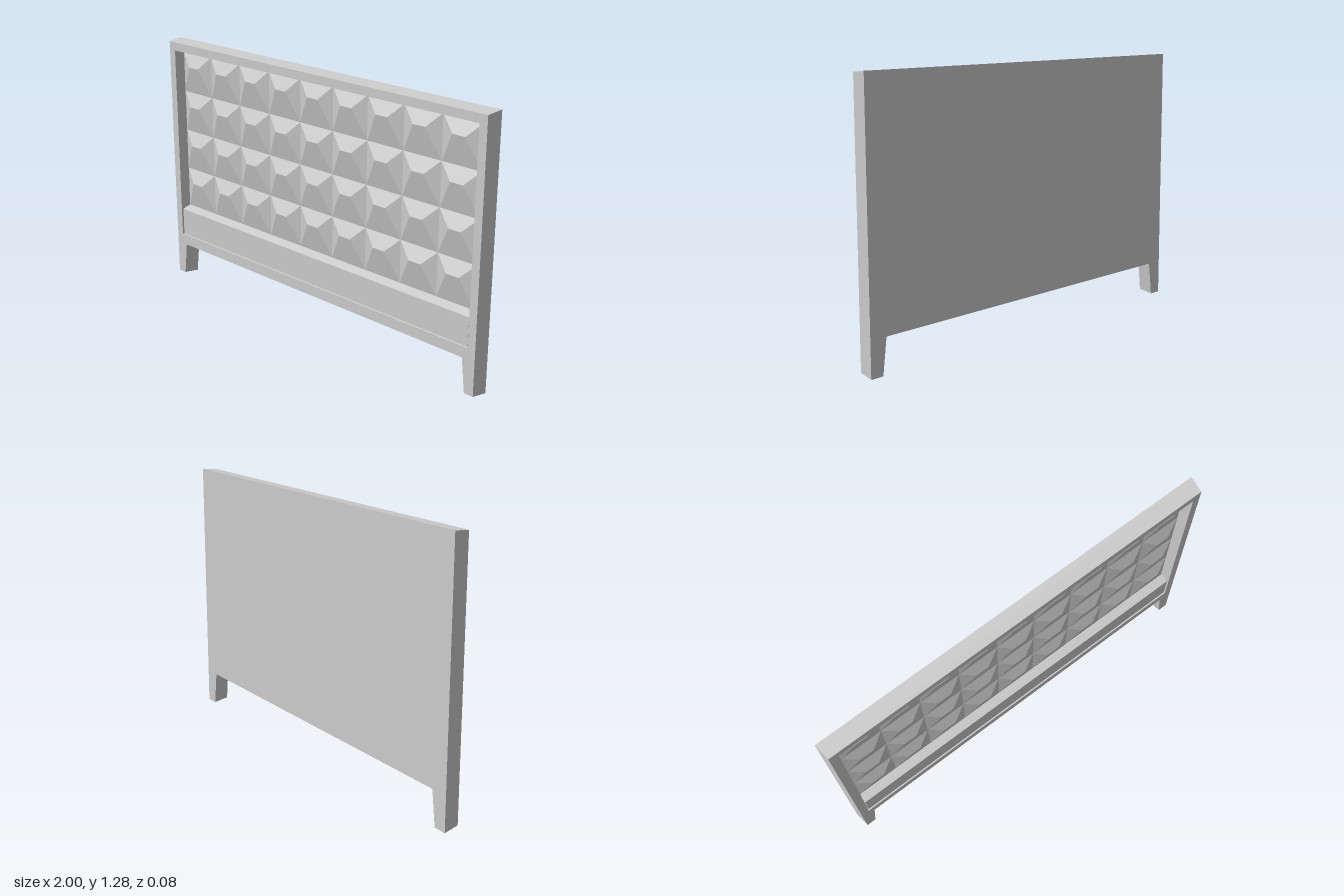
import * as THREE from 'three';

const grey = () => new THREE.MeshStandardMaterial({ color: 0xcccccc, flatShading: true });
const BACK = -0.04, FRONT = 0.04, FLOOR = -0.01;

// Non-indexed flat geometry from a list of corner points, three per triangle.
function fromTriangles(points) {
  const g = new THREE.BufferGeometry();
  g.setAttribute('position', new THREE.Float32BufferAttribute(points.flat(), 3));
  g.computeVertexNormals();
  return g;
}

const quad = (a, b, c, d) => [a, b, c, a, c, d];

function add(group, name, geometry) {
  const mesh = new THREE.Mesh(geometry, grey());
  mesh.name = name;
  group.add(mesh);
}

// Drafted wall joining two matching outlines (anticlockwise faces outward).
function wall(rear, front, z0, z1) {
  const tris = [];
  rear.forEach((p, i) => {
    const j = (i + 1) % rear.length;
    tris.push(...quad([...p, z0], [...rear[j], z0], [...front[j], z1], [...front[i], z1]));
  });
  return fromTriangles(tris);
}

// Anticlockwise headboard outline with two tapered legs.
function outline(side, top, foot, footIn, legIn, rail) {
  const right = [[footIn, foot], [side, foot], [side, top]];
  const left = [[-side, top], [-side, foot], [-footIn, foot]];
  return [...right, ...left, [-legIn, rail], [legIn, rail]];
}

const rect = (x, y0, y1) => [[-x, y0], [x, y0], [x, y1], [-x, y1]];
const shape = (pts) => new THREE.Shape(pts.map(([x, y]) => new THREE.Vector2(x, y)));

// Grid of tufted cells, each a hipped wedge with a short high ridge.
function tuftedPanel(cols, rows, x0, x1, y0, y1, height) {
  const w = (x1 - x0) / cols, h = (y1 - y0) / rows, tris = [];
  for (let r = 0; r < rows; r++) {
    for (let c = 0; c < cols; c++) {
      const x = x0 + c * w, y = y0 + r * h;
      const bl = [x, y, FLOOR], br = [x + w, y, FLOOR];
      const tr = [x + w, y + h, FLOOR], tl = [x, y + h, FLOOR];
      const ra = [x + w * 0.34, y + h * 0.67, FLOOR + height];
      const rb = [x + w * 0.66, y + h * 0.67, FLOOR + height];
      tris.push(...quad(bl, br, rb, ra), ...quad(tr, tl, ra, rb), br, tr, rb, tl, bl, ra);
    }
  }
  return fromTriangles(tris);
}

export function createModel() {
  const group = new THREE.Group();
  group.name = 'headboard';

  const rear = outline(1, 1.285, 0, 0.935, 0.913, 0.169);
  const front = outline(0.99, 1.277, 0.01, 0.942, 0.922, 0.178);
  const holeRear = rect(0.94, 0.235, 1.225);
  const holeFront = rect(0.95, 0.232, 1.235);

  // Frame: outer edges, bordered front, plain back
  const frame = new THREE.Group();
  frame.name = 'frame';
  group.add(frame);
  add(frame, 'outerEdges', wall(rear, front, BACK, FRONT));
  const face = shape(front);
  face.holes.push(shape(holeFront));
  add(frame, 'frontBorder', new THREE.ShapeGeometry(face).translate(0, 0, FRONT));
  add(frame, 'backPanel', new THREE.ShapeGeometry(shape(rear)).rotateY(Math.PI).translate(0, 0, BACK));

  // Recess walls face into the opening, so the outlines run backwards
  add(frame, 'recessWalls', wall([...holeRear].reverse(), [...holeFront].reverse(), FLOOR, FRONT));

  // Tufted upholstery
  add(group, 'tuftedPanel', tuftedPanel(9, 4, -0.94, 0.94, 0.39, 1.225, 0.03));

  // Plain lower band with a sloping ledge on top
  const band = shape([[0.01, 0.235], [0.01, 0.39], [-0.034, 0.375], [-0.034, 0.235]]);
  const bandGeometry = new THREE.ExtrudeGeometry(band, { depth: 1.89, bevelEnabled: false });
  bandGeometry.rotateY(Math.PI / 2).translate(-0.945, 0, 0);
  add(group, 'lowerBand', bandGeometry);

  return group;
}
